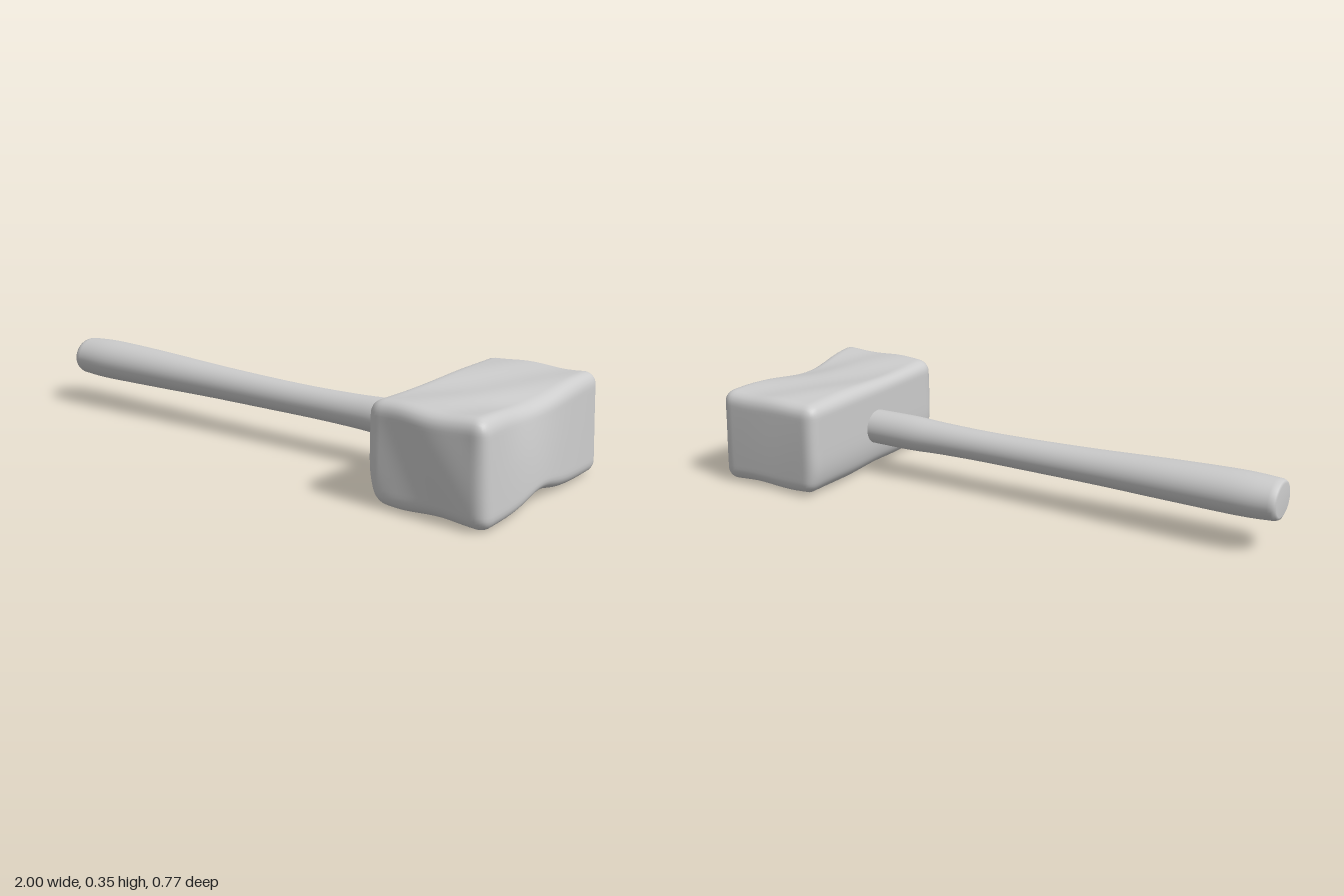
import * as THREE from 'three';
import { mergeVertices } from 'three/addons/utils/BufferGeometryUtils.js';

const grey = () => new THREE.MeshStandardMaterial({ color: 0xcccccc });
const bump = (v, centre, width) => Math.exp(-(((v - centre) / width) ** 2));

// Moves every vertex by a rule, then welds and smooths the surface.
function reshape(geometry, rule) {
  geometry.deleteAttribute('uv');
  geometry.deleteAttribute('normal');
  const p = geometry.attributes.position;
  const v = new THREE.Vector3();
  for (let i = 0; i < p.count; i++) {
    rule(v.fromBufferAttribute(p, i));
    p.setXYZ(i, v.x, v.y, v.z);
  }
  const welded = mergeVertices(geometry, 1e-5);
  welded.computeVertexNormals();
  return welded;
}

// Block with soft edges, a slight waist and worn, hand-cut faces.
function createHead() {
  const half = new THREE.Vector3(0.212, 0.17, 0.387);
  const radius = 0.045;
  const inner = half.clone().subScalar(radius);
  const outer = inner.clone().negate();
  const core = new THREE.Vector3();
  const geometry = new THREE.BoxGeometry(half.x * 2, half.y * 2, half.z * 2, 32, 28, 52);
  return reshape(geometry, (p) => {
    // rounded edges
    core.copy(p).clamp(outer, inner);
    p.sub(core).setLength(radius).add(core);
    const u = p.x / half.x, h = p.y / half.y, w = p.z / half.z;
    const right = (1 + u) / 2, top = (1 + h) / 2;
    // taper of the ends and lean of the striking side
    p.z *= 1 - 0.035 * (1 - top) ** 2;
    p.z += 0.018 * Math.max(w, 0) * (right - 1);
    p.x += 0.008 * u * u * (u > 0 ? 1 - 2 * top : 0);
    p.x -= 0.006 * w * (1 - right);
    // waist across top and bottom, deepest on the far edge
    p.y -= Math.max(h, 0) * bump(w, 0.1, 0.5) * (0.008 + 0.018 * right * right);
    p.y += Math.max(-h, 0) * bump(w, 0.05, 0.3) * (0.008 + 0.022 * right * right);
    p.x -= 0.03 * Math.max(u, 0) * top * top * bump(w, 0.25, 0.45);
    // worn lower edge beside the handle
    p.x += 0.035 * Math.max(-u, 0) ** 3 * Math.max(-h, 0) ** 3;
    // shallow dents
    p.y += 0.003 * Math.sin(5 * u + 4 * w) * h;
    p.z += 0.004 * Math.sin(4 * u + 2 * h) * w;
    p.x += 0.78;
    p.y += 0.175;
  });
}

// Round grip, thicker at the free end and thinnest half way along.
function createHandle() {
  const profile = [
    [-0.985, 0.074], [-0.9, 0.079], [-0.8, 0.079], [-0.6, 0.073], [-0.35, 0.063],
    [-0.1, 0.057], [0.1, 0.055], [0.28, 0.058], [0.4, 0.063], [0.52, 0.063], [0.62, 0.062],
  ].map(([x, r]) => new THREE.Vector2(r, x));
  const points = [
    new THREE.Vector2(0, -1), new THREE.Vector2(0.06, -1), new THREE.Vector2(0.069, -0.996),
    ...new THREE.SplineCurve(profile).getPoints(50),
    new THREE.Vector2(0, 0.62),
  ];
  const geometry = new THREE.LatheGeometry(points, 40).rotateZ(-Math.PI / 2);
  return reshape(geometry, (p) => {
    const grip = THREE.MathUtils.smoothstep(-p.x, -0.1, 0.9);
    p.y *= 1 - 0.08 * grip;
    p.z *= 1.04 + 0.04 * grip;
    p.y += 0.172 + 0.011 * grip;
    p.z -= 0.004;
  });
}

export function createModel() {
  const model = new THREE.Group();
  model.name = 'mallet';
  const parts = { head: createHead(), handle: createHandle() };
  for (const [name, geometry] of Object.entries(parts)) {
    const mesh = new THREE.Mesh(geometry, grey());
    mesh.name = name;
    model.add(mesh);
  }
  return model;
}
